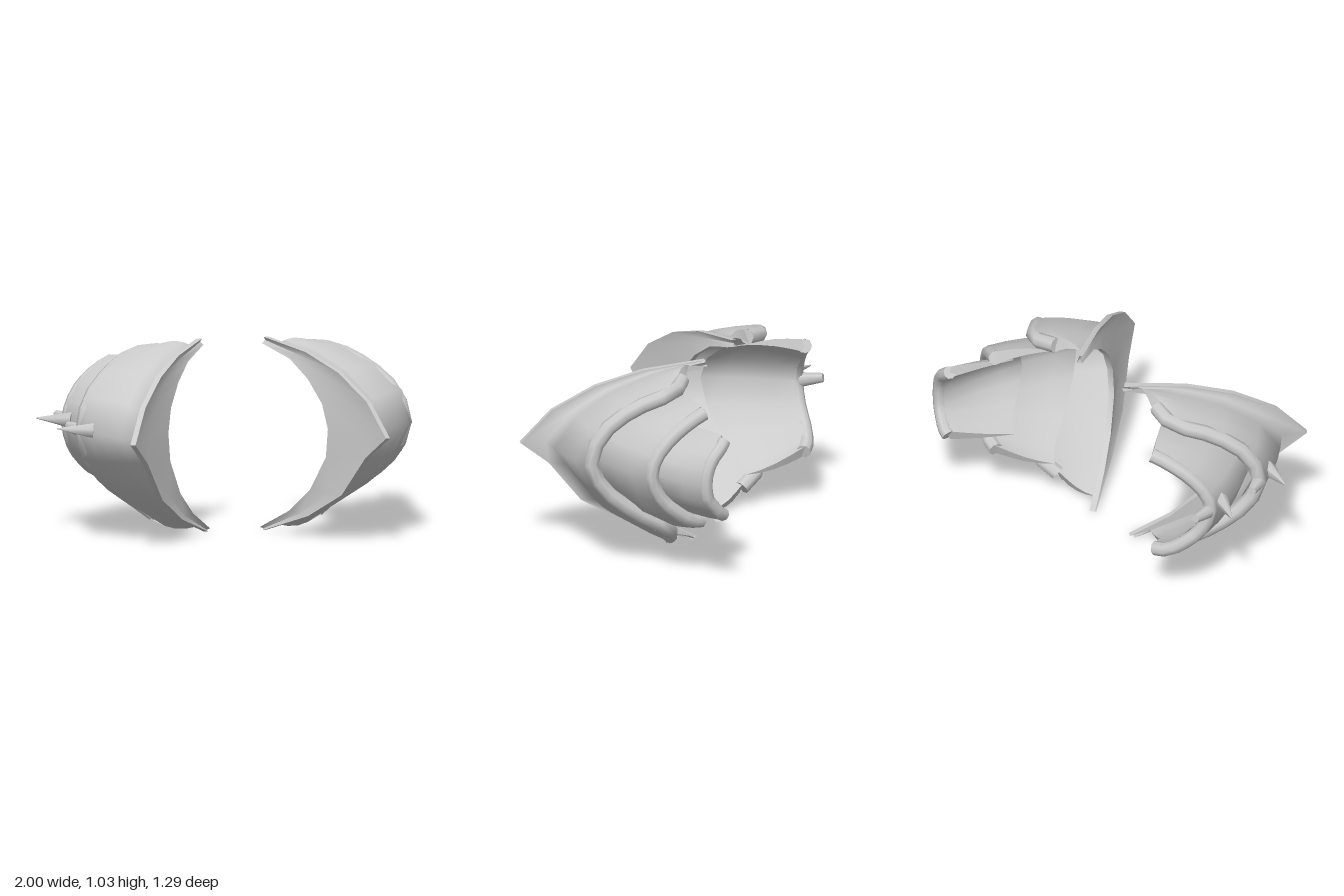
import * as THREE from 'three';
import { toCreasedNormals } from 'three/addons/utils/BufferGeometryUtils.js';

const material = new THREE.MeshStandardMaterial({ color: 0xcccccc, side: THREE.DoubleSide });
const V = (p) => new THREE.Vector3(...p);
const mix = (a, b, t) => a.map((p, i) => p.clone().lerp(b[i], t));

// Front flange: all points lie in one slanted plane, given as [z, y].
const onPlane = ([z, y]) => V([0.2 + 0.64 * (z + 0.13) + 0.07 * y, y, z]);
const flangeOuter = [[-0.2, 1.035], [0.08, 0.99], [0.3, 0.91], [0.5, 0.78], [0.645, 0.6],
  [0.52, 0.48], [0.38, 0.26], [0.17, 0.12], [-0.12, 0.005]].map(onPlane);
const flangeInner = [[-0.21, 1.0], [-0.02, 0.94], [0.105, 0.85], [0.21, 0.73], [0.26, 0.6],
  [0.26, 0.45], [0.17, 0.26], [0.04, 0.13], [-0.14, 0.02]].map(onPlane);
const behind = (row) => row.map((p) => V([p.x + 0.025, p.y, p.z - 0.017]));

// Rims at the back of the overlapping plates, from top to bottom.
const rim1 = [[0.46, 0.98, -0.18], [0.6, 0.96, -0.2], [0.77, 0.88, -0.03], [0.885, 0.765, 0.085],
  [0.93, 0.61, 0.13], [0.885, 0.46, 0.075], [0.77, 0.315, -0.05], [0.6, 0.185, -0.17], [0.5, 0.11, -0.13]].map(V);
const rim2 = [[0.68, 0.895, -0.415], [0.75, 0.865, -0.375], [0.85, 0.795, -0.31], [0.92, 0.7, -0.255],
  [0.945, 0.6, -0.235], [0.91, 0.47, -0.27], [0.85, 0.385, -0.33], [0.765, 0.315, -0.385], [0.69, 0.295, -0.405]].map(V);
const rim3 = [[0.83, 0.815, -0.61], [0.865, 0.785, -0.605], [0.92, 0.735, -0.585], [0.95, 0.67, -0.57],
  [0.96, 0.6, -0.565], [0.95, 0.52, -0.57], [0.92, 0.475, -0.585], [0.875, 0.425, -0.605], [0.84, 0.405, -0.61]].map(V);

// Front edges of the second and third plates, hidden inside the plate before.
const front2 = [[0.49, 0.92, -0.16], [0.56, 0.89, -0.11], [0.66, 0.82, 0.06], [0.735, 0.72, 0.19],
  [0.76, 0.6, 0.24], [0.73, 0.46, 0.19], [0.66, 0.32, 0.06], [0.56, 0.23, -0.1], [0.49, 0.19, -0.16]].map(V);
const front3 = [[0.68, 0.82, -0.28], [0.73, 0.79, -0.25], [0.79, 0.74, -0.17], [0.84, 0.68, -0.09],
  [0.86, 0.6, -0.06], [0.84, 0.52, -0.09], [0.79, 0.44, -0.17], [0.73, 0.37, -0.25], [0.68, 0.34, -0.28]].map(V);

// Shifts a rim line outward (or inward) by a distance, square to its plate.
const offset = (rim, distance) => rim.map((p) => {
  const normal = V([p.x - rim[0].x, p.y - 0.6, 0]).normalize().setZ(0.45).normalize();
  return p.clone().addScaledVector(normal, distance);
});

// Rows of points from one edge to another, swelling outward in between.
function swollen(front, back, bulge) {
  return [0, 0.25, 0.5, 0.75, 1].map((t) => {
    const swell = bulge * Math.sin(Math.PI * t);
    return mix(front, back, t).map((p, i) => V([
      p.x + swell * Math.sin(Math.PI * i / 8), p.y + swell * (p.y - 0.6) * 2, p.z]));
  });
}

// Smooth skin over rows of points.
function loft(rows) {
  const n = rows[0].length, index = [];
  for (let r = 0; r < rows.length - 1; r++) {
    for (let i = 0; i < n - 1; i++) {
      const a = r * n + i, b = a + n;
      index.push(a, b, a + 1, b, b + 1, a + 1);
    }
  }
  const geometry = new THREE.BufferGeometry().setFromPoints(rows.flat());
  geometry.setIndex(index);
  geometry.computeVertexNormals();
  return geometry;
}

// The first plate springs from the flange's outer edge and leaves it in a hollow curve.
const root = behind(mix(flangeOuter, flangeInner, 0.3));
root[0].lerp(root[1], 0.3);
root[8].lerp(root[7], 0.3);
const plates = [
  { front: root, rim: rim1, radius: 0.042, bulge: 0.025 },
  { front: front2, rim: rim2, radius: 0.039, bulge: 0.025 },
  { front: front3, rim: rim3, radius: 0.036, bulge: 0.015 },
];

function pauldron(name, side, shift, plateCount) {
  const group = new THREE.Group();
  group.name = name;
  const place = (row) => row.map((p) => V([side * (p.x - shift), p.y, p.z]));
  const add = (geometry, label) => {
    const mesh = new THREE.Mesh(geometry, material);
    mesh.name = label;
    group.add(mesh);
    return mesh;
  };
  const skin = (rows, label) => add(loft(rows.map(place)), label);

  // Pointed crescent flange with a slightly hollow face.
  const hollow = mix(flangeOuter, flangeInner, 0.5).map((p) => V([p.x + 0.012, p.y, p.z - 0.008]));
  const section = [behind(flangeOuter), flangeOuter, hollow, flangeInner, behind(flangeInner), root];
  add(toCreasedNormals(loft(section.map(place)), 0.9), 'frontFlange');

  // Thick overlapping plates, flush with the rounded rim at their back.
  plates.slice(0, plateCount).forEach(({ front, rim, radius, bulge }, k) => {
    const outer = swollen(front, offset(rim, radius), bulge);
    const inner = swollen(front, offset(rim, -radius), bulge);
    skin(k === 0 ? [behind(flangeOuter), ...outer] : outer, `plate${k + 1}Outside`);
    skin(inner, `plate${k + 1}Inside`);
    const curve = new THREE.CatmullRomCurve3(place(rim));
    add(new THREE.TubeGeometry(curve, 14, radius, 8), `rim${k + 1}`);
    for (const t of [0, 1]) {
      const column = t * 8;
      skin([outer.map((row) => row[column]), inner.map((row) => row[column])], `plate${k + 1}End`);
      const cap = add(new THREE.CircleGeometry(radius, 8), `rimEnd${k + 1}`);
      cap.position.copy(curve.getPoint(t));
      cap.quaternion.setFromUnitVectors(new THREE.Vector3(0, 0, 1), curve.getTangent(t));
    }
  });
  return { group, add };
}

// Tapered horn from a base point to a tip.
function horn(add, label, base, tip, baseRadius, tipRadius) {
  const from = V(base), axis = V(tip).sub(from), length = axis.length();
  const geometry = new THREE.CylinderGeometry(tipRadius, baseRadius, length, 6).translate(0, length / 2, 0);
  const mesh = add(geometry, label);
  mesh.position.copy(from);
  mesh.quaternion.setFromUnitVectors(new THREE.Vector3(0, 1, 0), axis.normalize());
}

export function createModel() {
  const model = new THREE.Group();
  model.name = 'shoulderArmour';

  const left = pauldron('leftPauldron', 1, 0, 3);
  const right = pauldron('rightPauldron', -1, 0.12, 2);

  // Spikes and blunt rim hooks on the right pauldron.
  horn(right.add, 'frontSpike', [-0.77, 0.62, 0.225], [-0.96, 0.63, 0.18], 0.045, 0.003);
  horn(right.add, 'rearSpike', [-0.82, 0.62, -0.16], [-1.0, 0.625, -0.24], 0.045, 0.003);
  horn(right.add, 'frontHook', [-0.82, 0.61, 0.11], [-0.87, 0.62, 0.02], 0.04, 0.025);
  horn(right.add, 'rearHook', [-0.83, 0.6, -0.26], [-0.86, 0.62, -0.38], 0.04, 0.025);

  model.add(left.group, right.group);
  return model;
}
